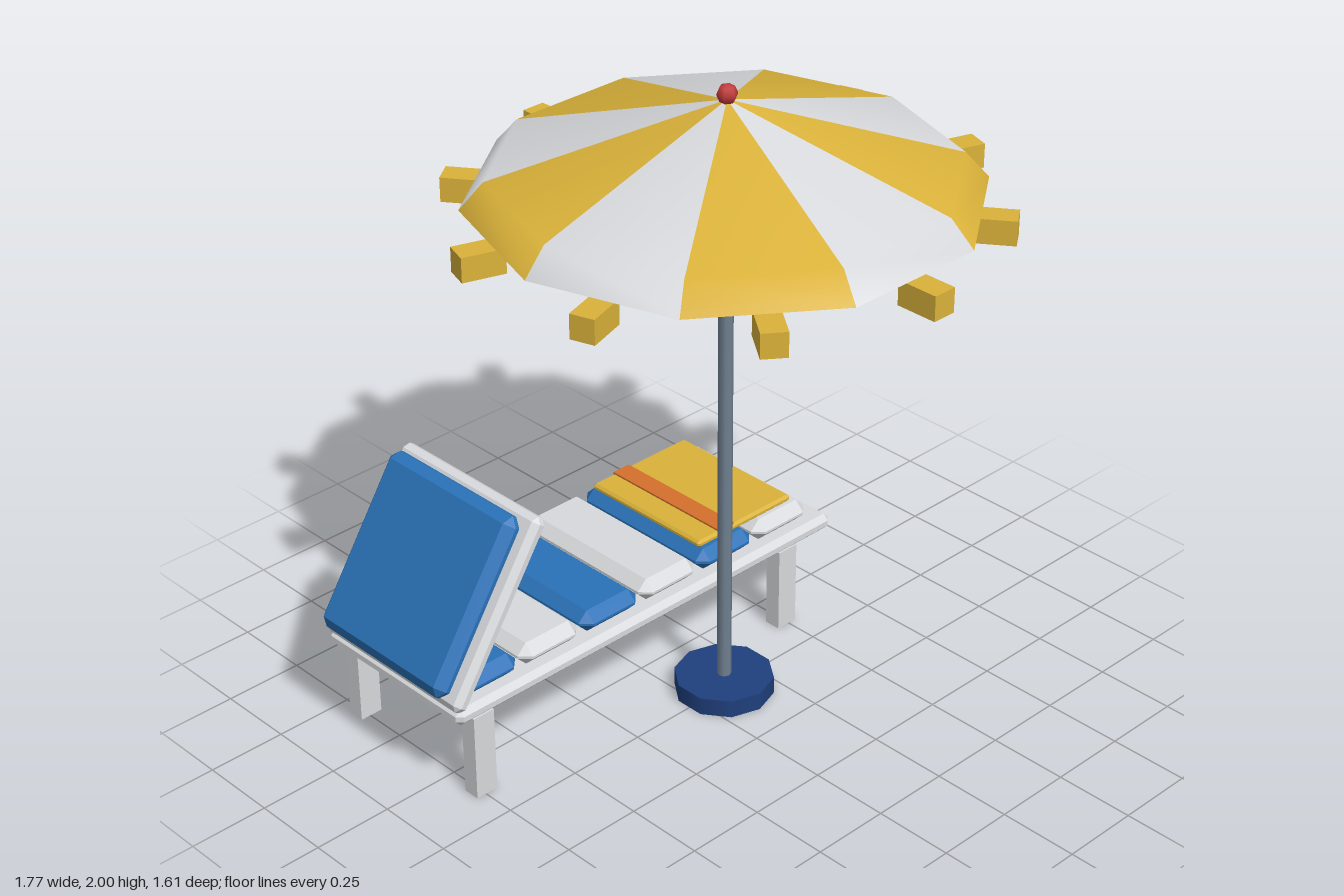
import * as THREE from 'three';
import { ConvexGeometry } from 'three/addons/geometries/ConvexGeometry.js';

const material = (name, color, extra = {}) => {
  const m = new THREE.MeshStandardMaterial({ color, ...extra });
  m.name = name;
  return m;
};

// Box with every edge cut at 45 degrees by c
function chamferBox(w, h, d, c) {
  const points = [];
  for (const x of [-1, 1]) for (const y of [-1, 1]) for (const z of [-1, 1]) {
    const a = w / 2, b = h / 2, e = d / 2;
    points.push(
      new THREE.Vector3(x * a, y * (b - c), z * (e - c)),
      new THREE.Vector3(x * (a - c), y * b, z * (e - c)),
      new THREE.Vector3(x * (a - c), y * (b - c), z * e));
  }
  return new ConvexGeometry(points);
}

function add(parent, name, geometry, mat, x = 0, y = 0, z = 0) {
  const mesh = new THREE.Mesh(geometry, mat);
  mesh.name = name;
  mesh.position.set(x, y, z);
  parent.add(mesh);
  return mesh;
}

export function createModel() {
  const white = material('white', 0xd8d9dc);
  const yellow = material('yellow', 0xdab23a);
  const blue = material('blue', 0x2a72b8);
  const navy = material('navy', 0x1f3f7c);
  const steel = material('steel', 0x708090);
  const red = material('red', 0xc43c3c);
  const orange = material('orange', 0xd4702c);

  const model = new THREE.Group();
  model.name = 'beachLoungerWithParasol';

  // Parasol
  const parasol = new THREE.Group();
  parasol.name = 'parasol';
  parasol.position.x = 0.11;
  model.add(parasol);

  add(parasol, 'base', new THREE.CylinderGeometry(0.153, 0.153, 0.057, 10).toNonIndexed(), navy, 0, 0.0285);
  add(parasol, 'pole', new THREE.CylinderGeometry(0.022, 0.022, 1.86, 8), steel, 0, 0.98);

  // Canopy: ten panels of alternating colour
  const profile = [[0.74, 1.67], [0.67, 1.75], [0.001, 1.952]].map(p => new THREE.Vector2(...p));
  const canopy = new THREE.LatheGeometry(profile, 10, -Math.PI / 10);
  const perPanel = (profile.length - 1) * 6;
  for (let i = 0; i < 10; i++) canopy.addGroup(i * perPanel, perPanel, i % 2);
  add(parasol, 'canopy', canopy, [white, yellow]);
  add(parasol, 'canopyUnderside', new THREE.CircleGeometry(0.74, 10).rotateX(Math.PI / 2), yellow, 0, 1.67);

  // Hem tabs in the middle of each panel
  for (let i = 0; i < 10; i++) {
    const a = i * Math.PI / 5;
    const tab = add(parasol, 'hemTab', new THREE.BoxGeometry(0.075, 0.075, 0.13), yellow,
      0.74 * Math.sin(a), 1.632, 0.74 * Math.cos(a));
    tab.rotation.y = a;
  }

  const finial = add(parasol, 'finial', new THREE.SphereGeometry(0.031, 6, 4), red, 0, 1.969);
  finial.rotation.y = Math.PI / 6;

  // Lounger
  const lounger = new THREE.Group();
  lounger.name = 'lounger';
  lounger.position.z = -0.4;
  model.add(lounger);

  add(lounger, 'bedFrame', chamferBox(1.52, 0.054, 0.6, 0.018), white, -0.08, 0.303);
  for (const x of [-0.745, 0.492]) for (const z of [-0.266, 0.266]) {
    add(lounger, 'leg', new THREE.BoxGeometry(0.075, 0.28, 0.054), white, x, 0.14, z);
  }

  // Seat cushions
  for (let i = 0; i < 6; i++) {
    add(lounger, 'cushion', chamferBox(0.228, 0.072, 0.55, 0.032), i % 2 ? white : blue,
      -0.695 + i * 0.2376, 0.366);
  }

  // Raised backrest
  const backrest = new THREE.Group();
  backrest.name = 'backrest';
  backrest.position.set(-0.667, 0.577, 0);
  backrest.rotation.z = 0.99;
  lounger.add(backrest);
  add(backrest, 'backrestFrame', chamferBox(0.605, 0.054, 0.6, 0.018), white);
  add(backrest, 'backrestPad', chamferBox(0.56, 0.07, 0.55, 0.028), blue, 0, 0.062);

  // Towel with stripe
  add(lounger, 'towel', chamferBox(0.395, 0.024, 0.475, 0.008), yellow, 0.36, 0.414);
  add(lounger, 'towelStripe', new THREE.BoxGeometry(0.065, 0.008, 0.468), orange, 0.28, 0.428);

  return model;
}
